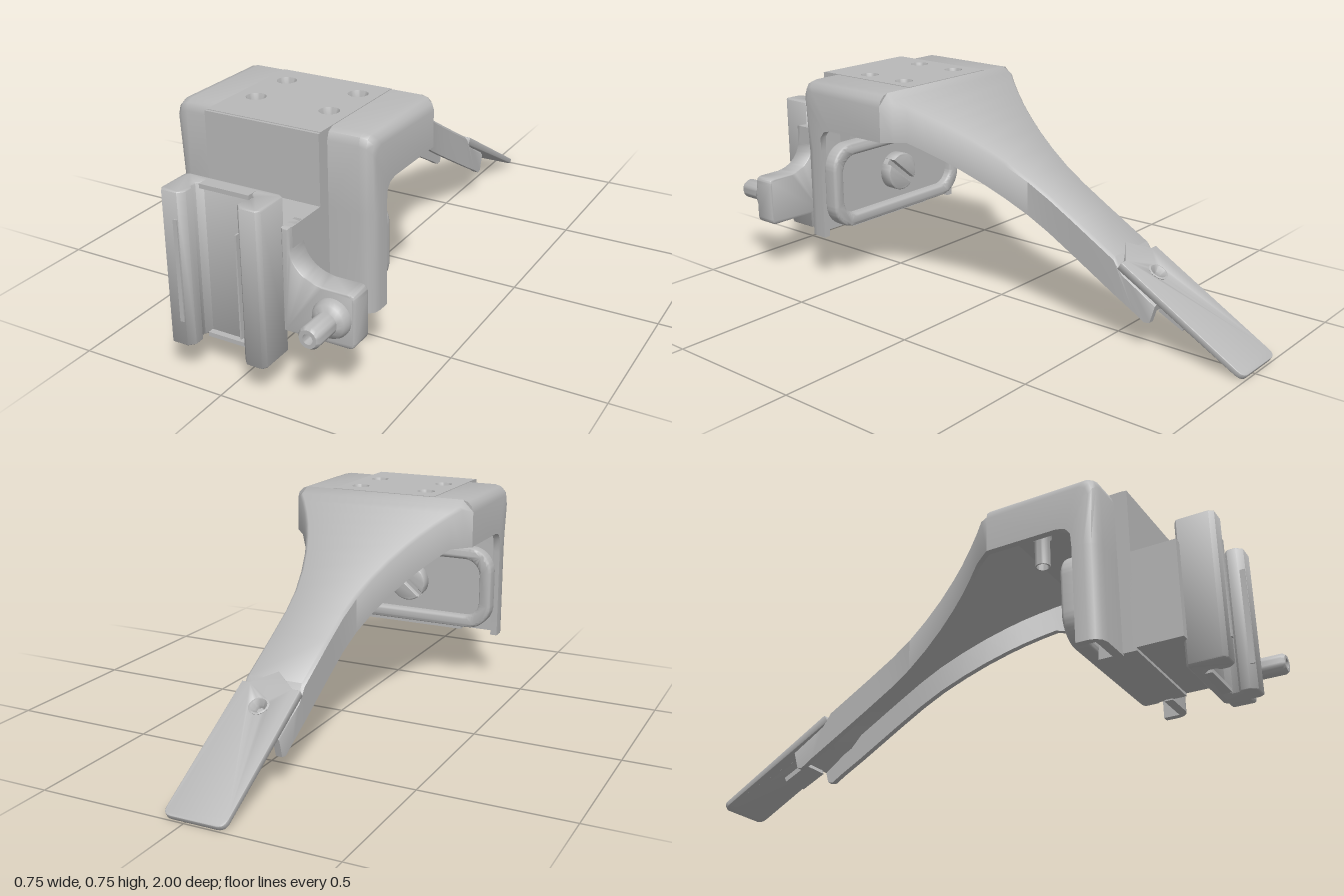
import * as THREE from 'three';
import { toCreasedNormals } from 'three/addons/utils/BufferGeometryUtils.js';

const grey = new THREE.MeshStandardMaterial({ color: 0xb8b8b8 });
grey.name = 'light grey';
const CX = -0.03; // centre line of the symmetrical body

function add(group, name, geo, x = 0, y = 0, z = 0) {
  const m = new THREE.Mesh(toCreasedNormals(geo, 0.8), grey);
  m.name = name;
  m.position.set(x, y, z);
  group.add(m);
  return m;
}

// box given by its limits
function box(group, name, x0, x1, y0, y1, z0, z1) {
  return add(group, name, new THREE.BoxGeometry(x1 - x0, y1 - y0, z1 - z0), (x0 + x1) / 2, (y0 + y1) / 2, (z0 + z1) / 2);
}

function roundRect(w, h, r, Kind = THREE.Shape) {
  const s = new Kind(), a = w / 2, b = h / 2;
  s.absarc(a - r, b - r, r, 0, Math.PI / 2);
  s.absarc(-a + r, b - r, r, Math.PI / 2, Math.PI);
  s.absarc(-a + r, -b + r, r, Math.PI, Math.PI * 1.5);
  s.absarc(a - r, -b + r, r, Math.PI * 1.5, Math.PI * 2);
  s.closePath();
  return s;
}

function hole(shape, x, y, r) {
  const p = new THREE.Path();
  p.absarc(x, y, r, 0, Math.PI * 2, true);
  shape.holes.push(p);
}

function extrude(shape, depth, bevel = 0) {
  return new THREE.ExtrudeGeometry(shape, {
    depth: depth - 2 * bevel, bevelEnabled: bevel > 0, bevelSize: bevel, bevelThickness: bevel,
    bevelOffset: -bevel, bevelSegments: 3, curveSegments: 10,
  }).translate(0, 0, bevel);
}

// Loft through stations { o: [z,y] outer, i: [z,y] inner, ring: [[x, distance below outer]] }
function loft(stations) {
  const pos = [], n = stations[0].ring.length;
  const rings = stations.map(({ o, i, ring }) => {
    const len = Math.hypot(o[0] - i[0], o[1] - i[1]);
    return ring.map(([x, d]) => {
      const t = Math.min(d / len, 1);
      return [x, o[1] + (i[1] - o[1]) * t, o[0] + (i[0] - o[0]) * t];
    });
  });
  for (let k = 0; k < rings.length - 1; k++)
    for (let j = 0; j < n; j++) {
      const a = rings[k][j], b = rings[k][(j + 1) % n], c = rings[k + 1][(j + 1) % n], d = rings[k + 1][j];
      pos.push(...a, ...b, ...c, ...a, ...c, ...d);
    }
  for (const end of [0, rings.length - 1]) {
    const flat = stations[end].ring.map(([x, d]) => new THREE.Vector2(x, -d));
    for (const [a, b, c] of THREE.ShapeUtils.triangulateShape(flat, [])) {
      const ccw = THREE.ShapeUtils.area([flat[a], flat[b], flat[c]]) > 0;
      const order = ccw === (end === 0) ? [a, b, c] : [a, c, b];
      order.forEach((v) => pos.push(...rings[end][v]));
    }
  }
  const g = new THREE.BufferGeometry();
  g.setAttribute('position', new THREE.Float32BufferAttribute(pos, 3));
  g.computeVertexNormals();
  return g;
}

function lathe(points, segments = 24) {
  return new THREE.LatheGeometry(points.map((p) => new THREE.Vector2(...p)), segments);
}

export function createModel() {
  const root = new THREE.Group();
  root.name = 'bracketArm';
  const body = new THREE.Group();
  body.name = 'body';
  body.position.x = CX;
  root.add(body);

  // Hollow shoulder shells, one on each side of the top plate
  const path = [
    [0.655, 0.175, 0.57, 0.175], [0.655, 0.5, 0.57, 0.5], [0.655, 0.71, 0.567, 0.55], [0.646, 0.735, 0.55, 0.572],
    [0.625, 0.745, 0.52, 0.58], [0.27, 0.745, 0.27, 0.58],
  ];
  for (const side of [1, -1]) {
    const st = path.map(([oz, oy, iz, iy]) => {
      const w = 0.345, x0 = 0.19, t = 0.025, c = 0.045;
      const deep = Math.hypot(oz - iz, oy - iy);
      const ring = [[x0, 0], [w - c, 0], [w - c * 0.5, c * 0.13], [w - c * 0.13, c * 0.5], [w, c],
        [w, deep], [w - t, deep], [w - t, 0.03], [x0, 0.03]].map(([x, d]) => [x * side, d]);
      return { o: [oz, oy], i: [iz, iy], ring: side > 0 ? ring : ring.reverse() };
    });
    add(body, 'shoulderShell', loft(st));
  }

  // Hollow tapering arm with upright sides: [z, half width]
  const widths = [[0.27, 0.345], [0.235, 0.318], [0.2, 0.289], [0.15, 0.253], [0.1, 0.221], [0.05, 0.194], [-0.02, 0.162],
    [-0.1, 0.134], [-0.18, 0.114], [-0.26, 0.105], [-0.36, 0.103], [-0.52, 0.103]];
  const arm = widths.map(([z, w], k) => ({
    o: [z, 0.745 - 0.579 * (0.27 - z)], i: [z, 0.58 - 0.577 * Math.max(0, 0.2 - z)], w, c: k === 0 ? 0.04 : 0.01,
  }));
  arm.push({ o: [-0.55, 0.24], i: [-0.6, 0.12], w: 0.102, c: 0.008 });
  arm.push({ o: [-0.58, 0.222], i: [-0.64, 0.095], w: 0.101, c: 0.008 });
  arm.push({ o: [-0.68, 0.165], i: [-0.66, 0.098], w: 0.1, c: 0.008 });
  for (const s of arm) {
    const { w, c } = s, t = 0.022, deep = Math.hypot(s.o[0] - s.i[0], s.o[1] - s.i[1]);
    s.ring = [[-w, deep], [-w, c], [-w + c, 0], [w - c, 0], [w, c], [w, deep],
      [w - t, deep], [w - t, 0.03], [-w + t, 0.03], [-w + t, deep]];
  }
  add(body, 'arm', loft(arm));

  // Tongue on the end of the arm, thinner at its tip, with a pointed joint and a screw hole
  const tip = new THREE.Shape();
  tip.moveTo(-0.075, 0);
  tip.lineTo(0.075, 0);
  tip.quadraticCurveTo(0.103, 0, 0.103, 0.03);
  tip.lineTo(0.103, 0.52);
  tip.lineTo(0.075, 0.52);
  tip.lineTo(0, 0.58);
  tip.lineTo(-0.075, 0.52);
  tip.lineTo(-0.103, 0.52);
  tip.lineTo(-0.103, 0.03);
  tip.quadraticCurveTo(-0.103, 0, -0.075, 0);
  hole(tip, 0, 0.433, 0.032);
  const tongue = extrude(tip, 0.03, 0.003), tp = tongue.attributes.position;
  for (let k = 0; k < tp.count; k++) tp.setZ(k, tp.getZ(k) * Math.min(1, 0.62 + tp.getY(k)));
  tongue.computeVertexNormals();
  add(body, 'tongue', tongue, 0, 0.0165, -1).rotation.x = Math.PI / 3;
  const cup = add(body, 'tongueScrewCup', lathe([[0.012, -0.025], [0.02, -0.025], [0.034, 0.0], [0.028, 0.002], [0.014, -0.014], [0.012, -0.025]]), 0, 0.234, -0.625);
  cup.rotation.x = -Math.PI / 6;
  box(body, 'tongueClip', -0.05, 0.05, 0.1, 0.118, -0.76, -0.66).rotation.x = -0.45;

  // Top plate with four countersunk holes, and the screw tubes below it
  const plate = new THREE.Shape();
  plate.moveTo(-0.1975, -0.69);
  plate.lineTo(0.1975, -0.69);
  plate.lineTo(0.1975, -0.27);
  plate.lineTo(-0.1975, -0.27);
  for (const x of [-0.13, 0.13]) for (const z of [0.36, 0.53]) {
    hole(plate, x, -z, 0.034);
    add(body, 'screwTube', lathe([[0.021, 0.6], [0.026, 0.6], [0.026, 0.71], [0.036, 0.747], [0.032, 0.747], [0.021, 0.715], [0.021, 0.6]]), x, 0, z);
    if (z > 0.5) add(body, 'screwHead', new THREE.CylinderGeometry(0.022, 0.022, 0.1, 20), x, 0.66, z);
  }
  add(body, 'topPlate', extrude(plate, 0.035).rotateX(-Math.PI / 2), 0, 0.712, 0);

  // Front slab and the mounting block
  box(body, 'frontSlab', -0.1975, 0.1975, 0.18, 0.745, 0.575, 0.7);
  box(body, 'mountBlock', -0.1975, 0.1975, 0.19, 0.52, 0.69, 0.85);

  // Dished rear pad with a slotted knob
  const rim = roundRect(0.66, 0.31, 0.09);
  rim.holes.push(roundRect(0.57, 0.22, 0.06, THREE.Path));
  add(body, 'padRim', extrude(rim, 0.06, 0.012), 0, 0.36, 0.518);
  add(body, 'padFloor', extrude(roundRect(0.61, 0.26, 0.07), 0.03), 0, 0.36, 0.55);
  const knob = new THREE.Group();
  knob.name = 'knob';
  knob.position.set(0, 0.36, 0.505);
  knob.rotation.z = 0.7;
  body.add(knob);
  for (const a of [0, Math.PI]) {
    const half = new THREE.Shape();
    half.absarc(0, 0, 0.07, 0.16, Math.PI - 0.16);
    half.closePath();
    add(knob, 'knobHalf', extrude(half, 0.05, 0.004)).rotation.z = a;
  }
  add(knob, 'knobBase', new THREE.CylinderGeometry(0.068, 0.068, 0.025, 28).rotateX(Math.PI / 2), 0, 0, 0.035);

  // Channel-shaped head, open to the front
  const head = new THREE.Group();
  head.name = 'head';
  head.position.x = -0.0325;
  root.add(head);
  const u = [[-0.168, 0.845], [-0.155, 0.835], [0.155, 0.835], [0.168, 0.845], [0.168, 0.95], [0.158, 0.965], [0.105, 0.965],
    [0.087, 0.945], [0.087, 0.915], [0.1, 0.905], [0.1, 0.885], [0.083, 0.868], [-0.083, 0.868], [-0.1, 0.885],
    [-0.1, 0.905], [-0.087, 0.915], [-0.087, 0.945], [-0.105, 0.965], [-0.158, 0.965], [-0.168, 0.95]];
  const channel = new THREE.Shape(u.map(([x, z]) => new THREE.Vector2(x, -z)));
  add(head, 'channel', extrude(channel, 0.498, 0.006).rotateX(-Math.PI / 2), 0, 0.107, 0);
  for (const y of [0.107, 0.592]) box(head, 'endLip', -0.085, 0.085, y, y + 0.014, 0.85, 0.888);
  box(head, 'leftRail', 0.089, 0.094, 0.19, 0.52, 0.95, 0.967);
  box(head, 'rightRail', -0.122, -0.108, 0.19, 0.52, 0.955, 0.969);

  // Side lug with a hollow pin
  const lug = new THREE.Shape();
  lug.moveTo(0.14, 0.19);
  lug.lineTo(0.35, 0.19);
  lug.quadraticCurveTo(0.375, 0.19, 0.375, 0.215);
  lug.lineTo(0.375, 0.34);
  lug.quadraticCurveTo(0.375, 0.365, 0.35, 0.365);
  lug.lineTo(0.27, 0.365);
  lug.bezierCurveTo(0.21, 0.37, 0.167, 0.41, 0.167, 0.46);
  lug.lineTo(0.165, 0.52);
  lug.lineTo(0.14, 0.52);
  add(root, 'sideLug', extrude(lug, 0.08, 0.006), 0, 0, 0.787);
  const pin = lathe([[0, 0.86], [0.06, 0.86], [0.06, 0.88], [0.052, 0.895], [0.035, 0.905], [0.035, 0.99], [0.028, 1],
    [0.016, 1], [0.016, 0.92], [0, 0.92]], 28);
  add(root, 'pin', pin.rotateX(Math.PI / 2), 0.305, 0.28, 0);

  return root;
}
